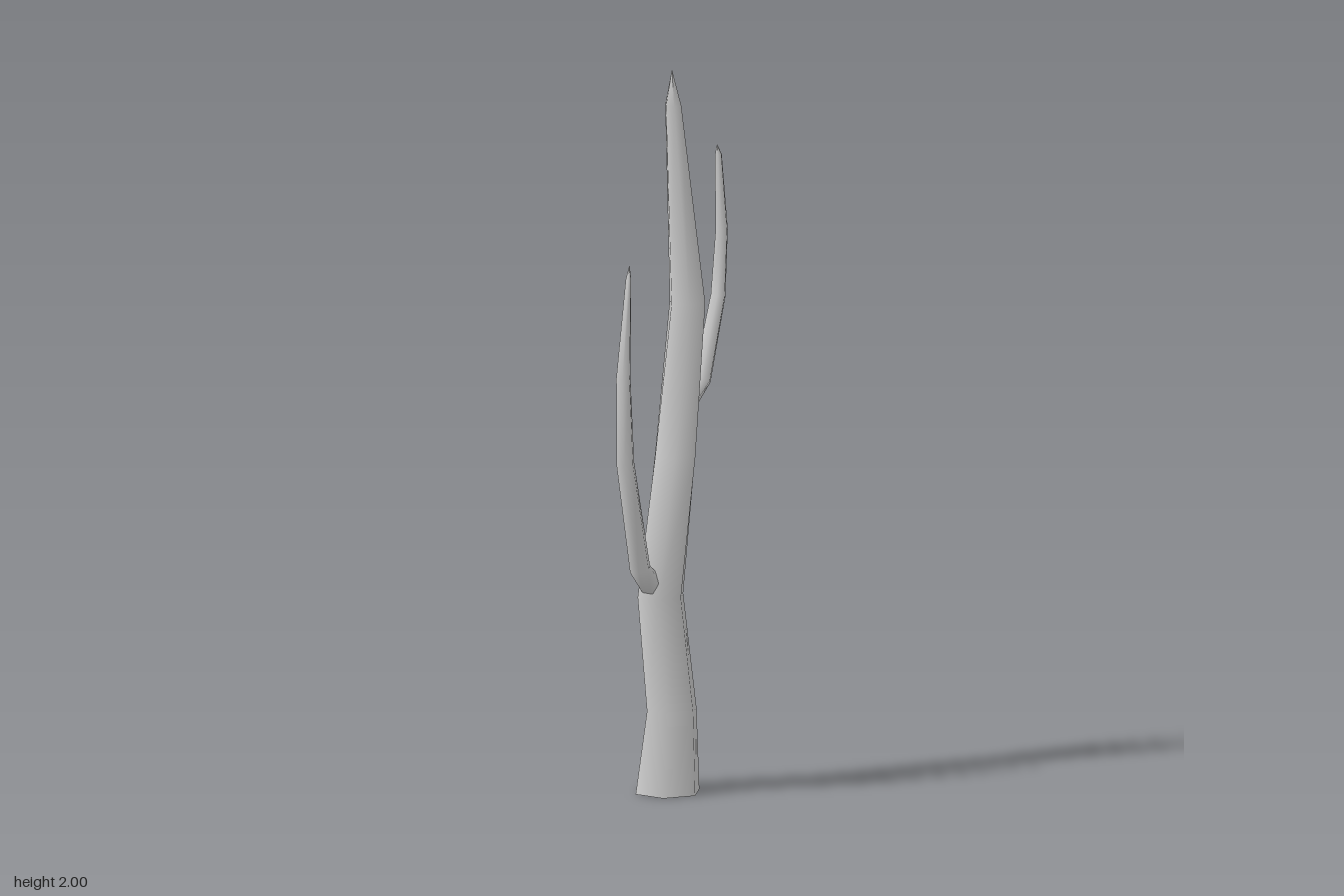
import * as THREE from 'three';

const material = new THREE.MeshStandardMaterial({ color: 0xcccccc });

// Smooth limb through rings of [y, z, radius, twist]; rings tilt with the path unless flat
function limb(name, rings, sides, flat = false, phase = 0) {
  const pos = [], index = [];
  rings.forEach(([y, z, r, twist = 0], i) => {
    const p = rings[Math.max(i - 1, 0)], q = rings[Math.min(i + 1, rings.length - 1)];
    const t = flat ? new THREE.Vector2(0, 1) : new THREE.Vector2(q[1] - p[1], q[0] - p[0]).normalize();
    for (let k = 0; k < sides; k++) {
      const a = (k / sides) * Math.PI * 2 + phase + twist;
      const s = Math.sin(a) * r;
      pos.push(Math.cos(a) * r, y - t.x * s, z + t.y * s);
    }
  });
  for (let i = 0; i < rings.length - 1; i++) {
    for (let k = 0; k < sides; k++) {
      const a = i * sides + k, b = i * sides + (k + 1) % sides;
      index.push(a, a + sides, b, b, a + sides, b + sides);
    }
  }
  const geometry = new THREE.BufferGeometry();
  geometry.setAttribute('position', new THREE.Float32BufferAttribute(pos, 3));
  geometry.setIndex(index);
  geometry.computeVertexNormals();
  const mesh = new THREE.Mesh(geometry, material);
  mesh.name = name;
  return mesh;
}

export function createModel() {
  const group = new THREE.Group();
  group.name = 'bareTree';

  // Crooked six-sided trunk, slightly twisted towards the top
  group.add(limb('trunk', [
    [0, 0.023, 0.094],
    [0.225, 0.004, 0.073],
    [0.55, 0.055, 0.068, -0.03],
    [0.93, -0.012, 0.063, -0.12],
    [1.345, -0.067, 0.053, -0.22],
    [1.9, -0.003, 0.024, -0.22],
    [2, 0.003, 0, -0.22],
  ], 6, true));

  // Flat underside of the trunk
  const base = new THREE.Mesh(new THREE.CircleGeometry(0.094, 6), material);
  base.name = 'trunkBase';
  base.rotation.x = Math.PI / 2;
  base.position.z = 0.023;
  group.add(base);

  // Low branch curving up in front
  group.add(limb('frontBranch', [
    [0.56, 0.06, 0.03],
    [0.59, 0.1, 0.032],
    [0.638, 0.147, 0.03],
    [0.94, 0.213, 0.026],
    [1.18, 0.222, 0.021],
    [1.45, 0.199, 0.008],
    [1.49, 0.194, 0],
  ], 6));

  // High branch curving up behind
  group.add(limb('backBranch', [
    [1.05, -0.05, 0.026],
    [1.08, -0.085, 0.027],
    [1.118, -0.133, 0.026],
    [1.34, -0.205, 0.022],
    [1.52, -0.221, 0.018],
    [1.73, -0.206, 0.01],
    [1.76, -0.2, 0],
  ], 6));

  return group;
}
